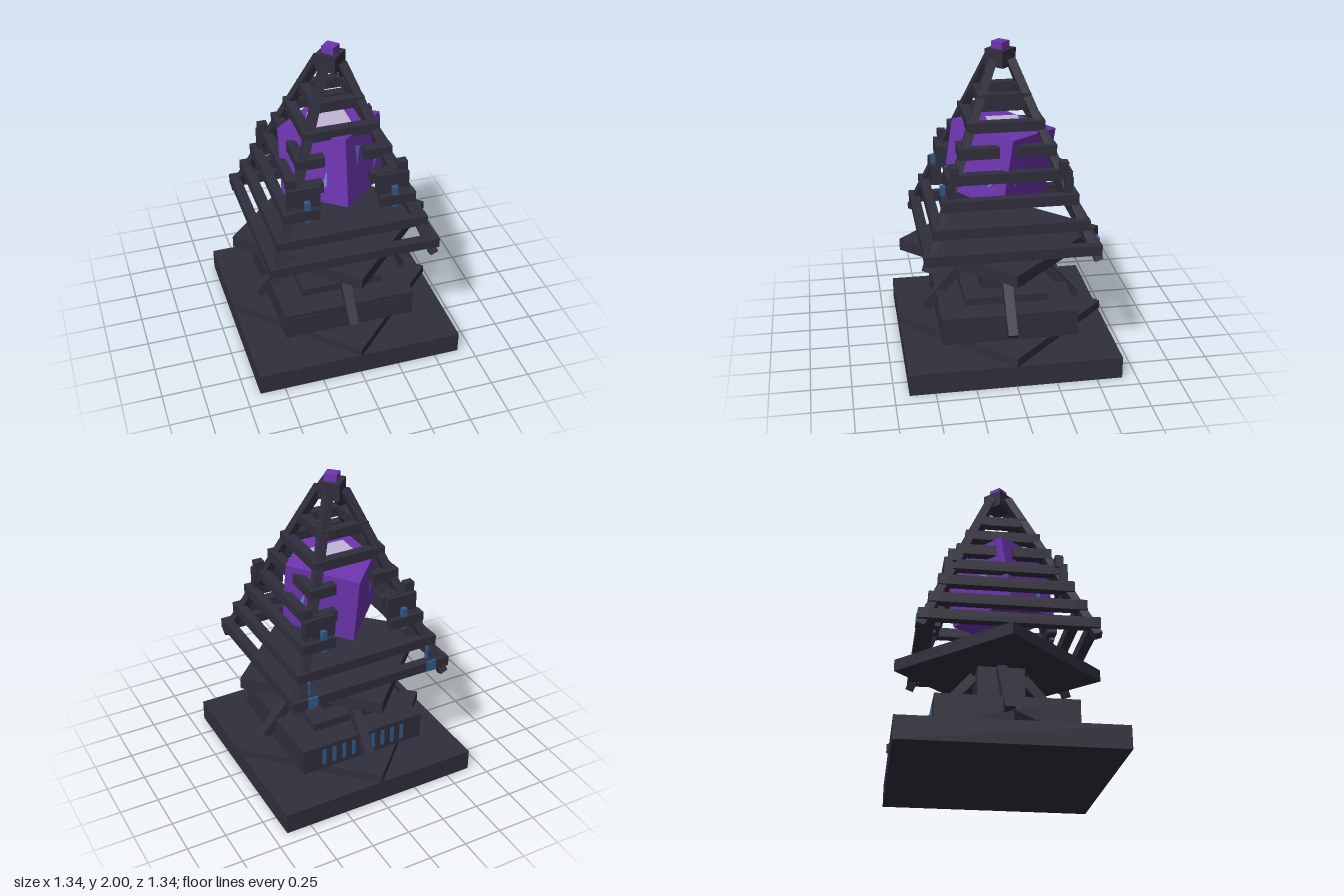
import * as THREE from 'three';

const mat = (name, color) => {
  const m = new THREE.MeshStandardMaterial({ color });
  m.name = name;
  return m;
};

export function createModel() {
  const root = new THREE.Group();
  root.name = 'crystalTower';
  const dark = mat('darkMetal', 0x302e3c);
  const purple = mat('purpleCrystal', 0x6d35b0);
  const blue = mat('blueLight', 0x2f5a8c);
  const shardBlue = mat('paleBlueShard', 0x6c86d8);
  shardBlue.side = THREE.DoubleSide;
  const lavender = mat('lavenderPlate', 0xc2b6d6);

  const box = (name, w, h, d, x, y, z, material = dark, yaw = 0) => {
    const m = new THREE.Mesh(new THREE.BoxGeometry(w, h, d), material);
    m.name = name;
    m.position.set(x, y, z);
    m.rotation.y = yaw;
    root.add(m);
    return m;
  };
  // square bar running between two points
  const beam = (name, a, b, w) => {
    const p = new THREE.Vector3(...a), q = new THREE.Vector3(...b);
    const dir = q.clone().sub(p);
    const m = box(name, w, dir.length(), w, 0, 0, 0);
    m.position.copy(p).add(q).multiplyScalar(0.5);
    m.quaternion.setFromUnitVectors(new THREE.Vector3(0, 1, 0), dir.normalize());
  };
  const D = Math.PI / 4;
  const R2 = Math.SQRT2;

  // stepped pedestal
  box('baseSlab', 1.32, 0.14, 1.32, 0, 0.07, 0);
  box('baseDiamond', 0.67 * R2, 0.055, 0.67 * R2, 0, 0.1675, 0, dark, D);
  box('lowerBlock', 0.85, 0.175, 0.85, 0, 0.2825, 0);
  box('upperBlock', 0.53, 0.05, 0.53, 0, 0.395, 0);
  box('column', 0.29, 0.26, 0.29, 0, 0.545, 0);
  box('platform', 0.645 * R2, 0.075, 0.645 * R2, 0, 0.705, 0, dark, D);

  // front panels and rear vents
  for (const s of [-1, 1]) box('frontPanel', 0.21, 0.115, 0.009, s * 0.265, 0.285, 0.427);
  for (let i = 0; i < 9; i++) box('rearVent', 0.024, 0.11, 0.009, -0.28 + i * 0.07, 0.285, -0.427, blue);

  // diagonal braces under the platform
  for (const s of [-1, 1]) {
    beam('sideBrace', [s * 0.495, 0.255, 0], [s * 0.155, 0.65, 0], 0.06);
    beam('endBrace', [0, 0.255, s * 0.495], [0, 0.65, s * 0.155], 0.06);
  }

  // pyramid legs
  for (const sx of [-1, 1]) for (const sz of [-1, 1])
    beam('cageLeg', [sx * 0.505, 0.745, sz * 0.525], [sx * 0.055, 1.9, sz * 0.055], 0.052);

  // rails: height, distance from centre, inner gap on front/back, inner gap on sides
  const rails = [
    [0.82, 0.505, 0, 0], [0.96, 0.443, 0, 0], [1.11, 0.383, 0.19, 0],
    [1.25, 0.323, 0.15, 0], [1.39, 0.265, 0.125, 0.05], [1.53, 0.203, 0, 0], [1.68, 0.13, 0, 0],
  ];
  for (const [y, r, gapZ, gapX] of rails) {
    const end = r + 0.033;
    for (const s of [-1, 1]) {
      if (!gapZ) box('crossRail', end * 2, 0.064, 0.06, 0, y, s * r);
      if (!gapX) box('sideRail', 0.06, 0.064, end * 2, s * r, y, 0);
      for (const t of [-1, 1]) {
        if (gapZ) box('brokenCrossRail', end - gapZ, 0.068, 0.06, t * (end + gapZ) / 2, y, s * r);
        if (gapX) box('brokenSideRail', 0.06, 0.068, end - gapX, s * r, y, t * (end + gapX) / 2);
      }
    }
  }

  // armour blocks and glowing tubes at the broken rails
  for (const sx of [-1, 1]) for (const sz of [-1, 1]) {
    box('cornerBlock', 0.2, 0.14, 0.05, sx * 0.28, 1.21, sz * 0.355);
    box('cornerBlockTop', 0.06, 0.08, 0.05, sx * 0.347, 1.3, sz * 0.33);
    const x = sx * (sx * sz > 0 ? 0.285 : 0.265);
    box('glowTube', 0.034, 0.14, 0.03, x, 1.13, sz * 0.395, blue);
  }

  // lights on the lowest rear rail
  for (const s of [-1, 1]) {
    box('railLight', 0.064, 0.07, 0.012, s * 0.41, 0.825, -0.536, blue);
    box('railLightStem', 0.015, 0.09, 0.02, s * 0.41, 0.89, -0.48, blue);
  }

  // tilted crystal
  const size = 0.463, height = 0.445;
  const crystal = new THREE.Group();
  crystal.name = 'crystal';
  crystal.position.set(0, 1.255, 0.007);
  crystal.rotation.set(-0.147, D, 0);
  const body = new THREE.Mesh(new THREE.BoxGeometry(size, height, size), purple);
  body.name = 'crystalBody';
  crystal.add(body);

  // thin shards on the crystal faces: quarter turn, offset, bottom, flipped
  const shards = [[3, 0.07, -0.15, 1], [0, -0.09, 0.0, -1], [1, -0.13, -0.1, 1], [2, 0.06, -0.08, -1], [0, 0.13, -0.12, 1]];
  for (const [turn, u, v, flip] of shards) {
    const shape = new THREE.Shape();
    shape.moveTo(-0.03, flip > 0 ? 0 : 0.14);
    shape.lineTo(0.03, flip > 0 ? 0.15 : 0.12);
    shape.lineTo(flip > 0 ? 0.025 : -0.01, flip > 0 ? 0.05 : 0);
    const face = new THREE.Group();
    face.name = 'shardFace';
    face.rotation.y = turn * Math.PI / 2;
    const shard = new THREE.Mesh(new THREE.ShapeGeometry(shape), shardBlue);
    shard.name = 'crystalShard';
    shard.position.set(u, v, size / 2 + 0.004);
    face.add(shard);
    crystal.add(face);
  }
  root.add(crystal);
  box('crystalTopPlate', 0.23, 0.03, 0.23, 0, 1.475, -0.01, lavender);

  // apex
  box('apexCap', 0.095 * R2, 0.105, 0.095 * R2, 0, 1.9025, 0, dark, D);
  box('apexCrystal', 0.056 * R2, 0.05, 0.056 * R2, 0, 1.975, 0, purple, D);
  return root;
}
